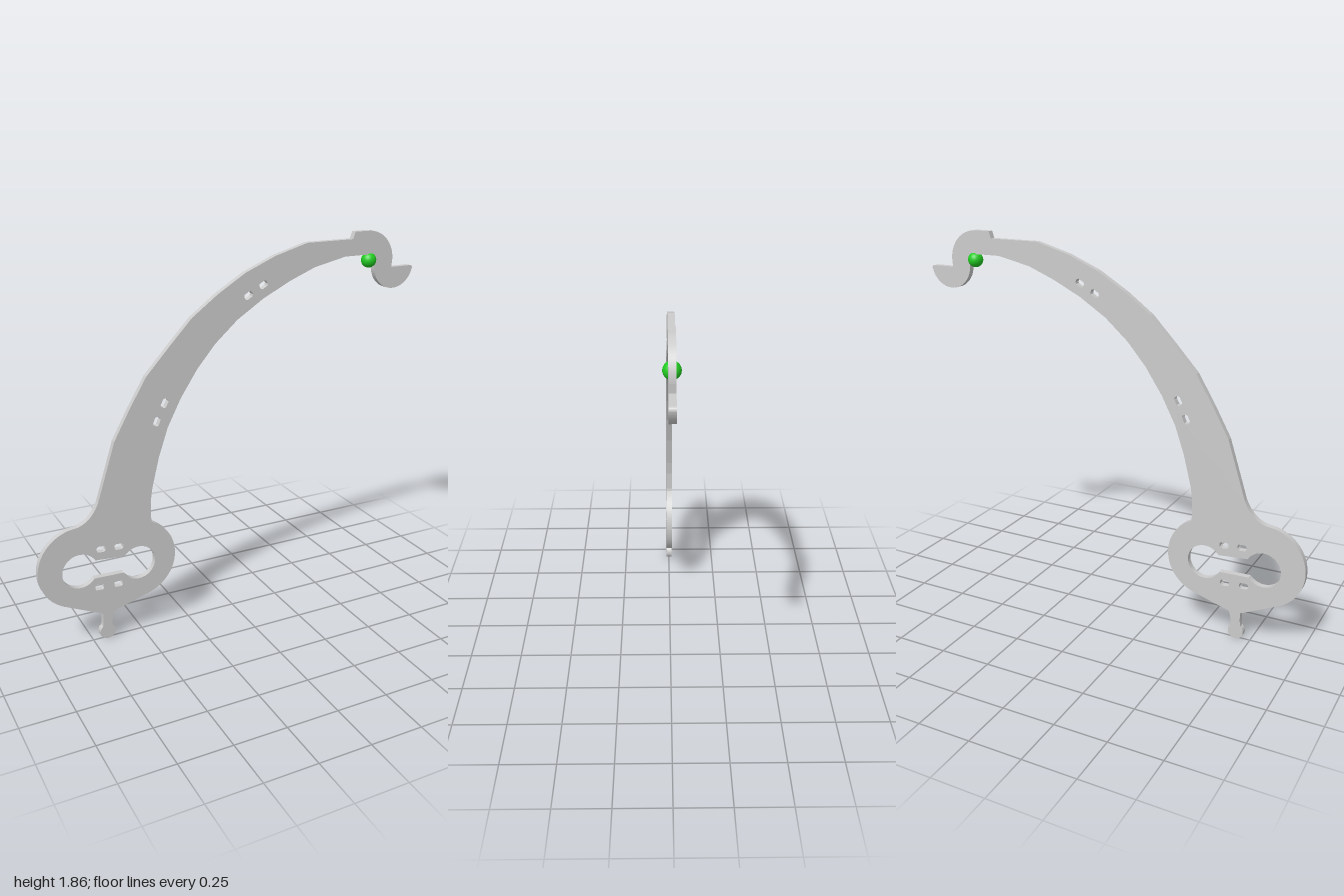
import * as THREE from 'three';

const THICKNESS = 0.03;
const rad = THREE.MathUtils.degToRad;

// Clockwise arc with angles in degrees
const arc = (path, x, y, r, from, to, clockwise = true) =>
  path.absarc(x, y, r, rad(from), rad(to), clockwise);
const lines = (path, points) => points.forEach(([x, y]) => path.lineTo(x, y));

// Flat silhouette: arched arm, hooked tip, two-lobed base and small stem
function plateOutline() {
  const s = new THREE.Shape();
  s.moveTo(-0.695, 0.72);
  // outer edge of the arch
  lines(s, [[-0.605, 1.0], [-0.525, 1.145], [-0.44, 1.285], [-0.325, 1.41], [-0.21, 1.53],
    [-0.08, 1.625], [0.06, 1.71], [0.215, 1.775], [0.385, 1.823], [0.64, 1.823], [0.652, 1.857]]);
  // hooked tip
  arc(s, 0.73, 1.712, 0.145, 90, 0);
  lines(s, [[0.872, 1.672], [0.982, 1.672]]);
  s.quadraticCurveTo(1, 1.672, 1, 1.655);
  arc(s, 0.885, 1.682, 0.115, -13, -180);
  s.quadraticCurveTo(0.767, 1.735, 0.72, 1.743);
  // inner edge of the arch
  lines(s, [[0.6, 1.743], [0.43, 1.706], [0.295, 1.652], [0.155, 1.583], [0.02, 1.497],
    [-0.095, 1.396], [-0.187, 1.289], [-0.273, 1.16], [-0.342, 1.027], [-0.39, 0.888],
    [-0.428, 0.738], [-0.438, 0.67], [-0.438, 0.578]]);
  // right lobe, stem with round end, left lobe
  arc(s, -0.52, 0.385, 0.2, 65, -69);
  lines(s, [[-0.642, 0.14]]);
  s.quadraticCurveTo(-0.657, 0.1, -0.655, 0.07);
  arc(s, -0.68, 0.038, 0.038, 52, -232);
  s.quadraticCurveTo(-0.698, 0.1, -0.7, 0.14);
  arc(s, -0.795, 0.41, 0.205, 248, 104);
  s.lineTo(-0.8, 0.615);
  s.quadraticCurveTo(-0.73, 0.635, -0.695, 0.72);
  return s;
}

// Two round openings joined by a slot
function keyhole() {
  const p = new THREE.Path();
  arc(p, -0.8, 0.39, 0.086, 28, 322, false);
  arc(p, -0.51, 0.369, 0.085, 205, 504, false);
  p.closePath();
  return p;
}

// Small chamfered slot at (x, y), turned by an angle in degrees
function slot(x, y, angle) {
  const w = 0.022, h = 0.015, c = 0.007;
  const corners = [[w - c, -h], [w, c - h], [w, h - c], [w - c, h],
    [c - w, h], [-w, h - c], [-w, c - h], [c - w, -h]];
  const origin = new THREE.Vector2();
  return new THREE.Path(corners.map(([u, v]) =>
    new THREE.Vector2(u, v).rotateAround(origin, rad(angle)).add(new THREE.Vector2(x, y))));
}

export function createModel() {
  const group = new THREE.Group();
  group.name = 'archedHook';

  // Plate with its openings
  const outline = plateOutline();
  outline.holes.push(keyhole());
  const slots = [
    [-0.693, 0.481, -4], [-0.605, 0.475, -4], [-0.71, 0.286, -4], [-0.615, 0.281, -4],
    [0.077, 1.604, 32], [0.155, 1.647, 30], [-0.395, 1.064, 67], [-0.354, 1.147, 63],
  ];
  slots.forEach((h) => outline.holes.push(slot(...h)));
  const plateGeometry = new THREE.ExtrudeGeometry(outline,
    { depth: THICKNESS, bevelEnabled: false, curveSegments: 20 });
  plateGeometry.translate(0, 0, -THICKNESS / 2);
  const plate = new THREE.Mesh(plateGeometry, new THREE.MeshStandardMaterial({ color: 0xcccccc }));
  plate.name = 'plate';
  group.add(plate);

  // Green bead tucked under the hook
  const bead = new THREE.Mesh(new THREE.SphereGeometry(0.037, 32, 20),
    new THREE.MeshStandardMaterial({ color: 0x22cc22 }));
  bead.name = 'bead';
  bead.position.set(0.745, 1.714, 0);
  group.add(bead);

  return group;
}
